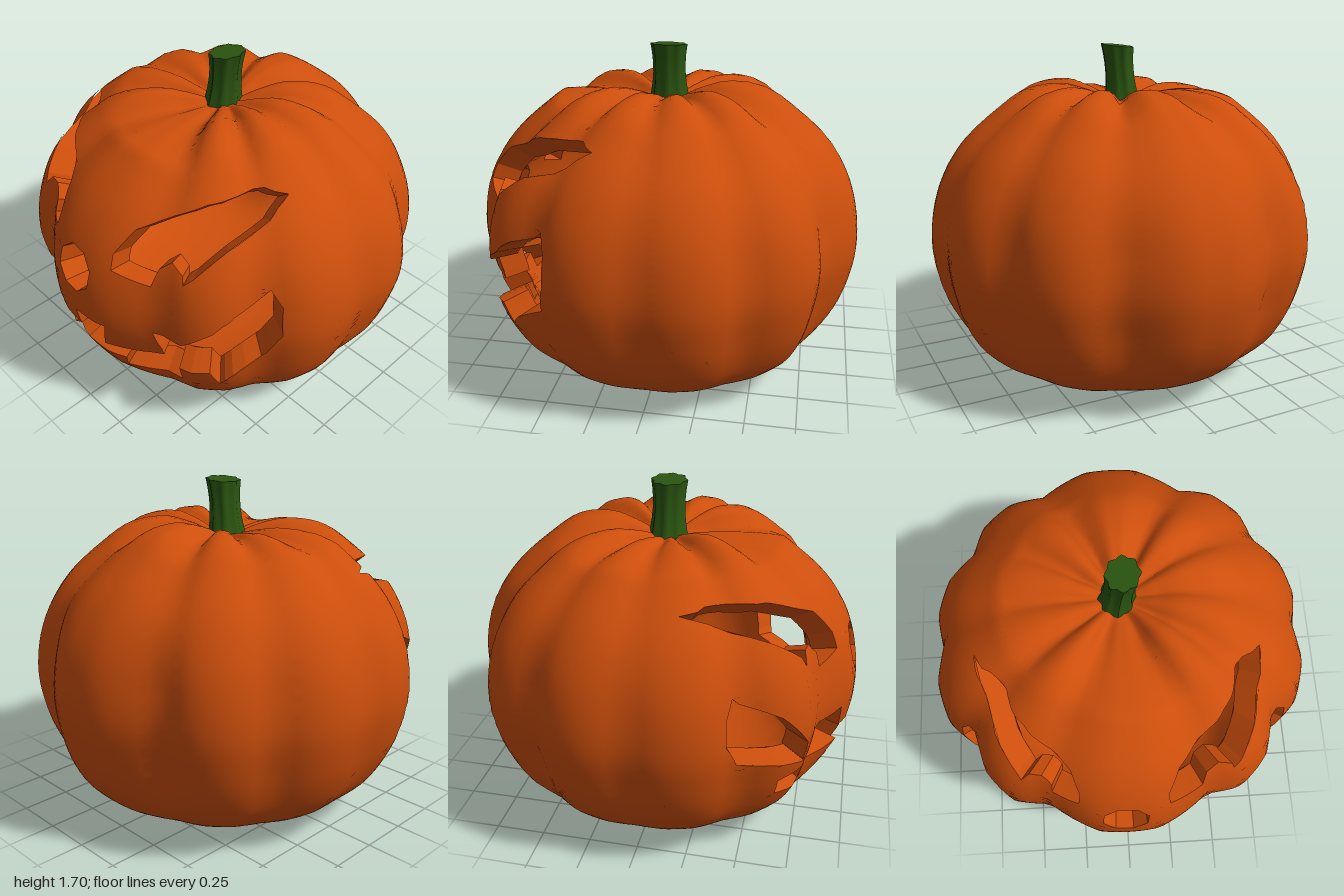
import * as THREE from 'three';

const V2 = (p) => new THREE.Vector2(p[0], p[1]);
const { smoothstep: smooth, lerp, clamp } = THREE.MathUtils;
const CENTRE_Y = 0.72, INNER = 0.86, HEIGHT = 3;

// Rib crest profile (radius, height) from the underside to the dimple below the stem
const profile = new THREE.SplineCurve([
  [0, 0], [0.4, 0.015], [0.68, 0.09], [0.83, 0.2], [0.93, 0.37], [0.985, 0.56], [1, 0.72], [0.975, 0.9],
  [0.915, 1.06], [0.815, 1.21], [0.67, 1.345], [0.5, 1.465], [0.32, 1.5], [0.18, 1.47], [0.08, 1.43], [0, 1.41],
].map(V2));
const CREST = 12 / 15;

// Grooves between the ribs: degrees away from the front, and radius scale at their floor
const grooves = [[-26.5, 0.928], [26.5, 0.928], [57, 0.93], [90, 0.955], [121, 0.937], [153.5, 0.912], [206.5, 0.912]];
function ribScale(angle) {
  const d = Math.abs(angle) * 180 / Math.PI;
  let i = 0;
  while (i < grooves.length - 2 && d > grooves[i + 1][0]) i++;
  const [start, floorA] = grooves[i], [end, floorB] = grooves[i + 1];
  const u = (d - start) / (end - start);
  return lerp(lerp(floorA, floorB, u), 1.003, Math.min(1, 3 * u, 3 * (1 - u)));
}

// Point on the skin for an angle and a height parameter; depth < 1 gives the inner wall
function skin(angle, v, depth = 1) {
  const p = profile.getPoint(clamp(v / HEIGHT, 0, 1));
  // grooves soften towards the base, the shoulder and the poles
  const shoulder = 1 - 0.4 * smooth(p.y, 0.85, 1.2) + 0.4 * smooth(p.y, 1.38, 1.48);
  const fade = smooth(p.y, 0, 0.5) * shoulder * smooth(p.x, 0, 0.25);
  const m = (1 + (ribScale(angle) - 1) * fade) * depth;
  // the crown sinks at the front and on the right
  const sink = 0.5 * Math.max(0, -Math.sin(angle)) ** 2 + 0.8 * smooth(Math.cos(angle), 0.85, 1);
  const y = p.y - sink * Math.max(0, p.y - 1.41);
  const r = Math.max(p.x, 0) * m;
  return new THREE.Vector3(r * Math.sin(angle), CENTRE_Y + (y - CENTRE_Y) * m, r * Math.cos(angle));
}

// Outward normal of the skin, taken over a wide step so that the grooves shade softly
function skinNormal(a, v) {
  const e = 0.03, w = clamp(v, 2 * e, HEIGHT - 2 * e);
  const across = skin(a + 0.09, w).sub(skin(a - 0.09, w));
  const up = skin(a, w + e).sub(skin(a, w - e));
  return across.cross(up).normalize();
}

function bisect(lo, hi, tooLow) {
  for (let i = 0; i < 26; i++) {
    const mid = (lo + hi) / 2;
    if (tooLow(mid)) lo = mid; else hi = mid;
  }
  return (lo + hi) / 2;
}

// Front-facing x, y to skin parameters
function toSkin(x, y) {
  const heightAt = (a) => bisect(0, CREST * HEIGHT, (v) => skin(a, v).y < y);
  const a = bisect(-1.4, 1.4, (t) => skin(t, heightAt(t)).x < x);
  return new THREE.Vector2(a, heightAt(a));
}

// Carved outlines, seen from the front
const rightEye = [[-0.71, 1.29], [-0.63, 1.31], [-0.48, 1.29], [-0.275, 1.175], [-0.24, 1.06], [-0.25, 0.98],
  [-0.38, 0.94], [-0.375, 1.01], [-0.42, 1.07], [-0.48, 1.07], [-0.525, 1.01], [-0.54, 1.06], [-0.61, 1.15]];
const leftEye = [[0.66, 1.32], [0.57, 1.34], [0.46, 1.31], [0.24, 1.175], [0.19, 1.06], [0.2, 0.985],
  [0.37, 0.94], [0.385, 1.03], [0.44, 1.085], [0.51, 1.05], [0.525, 1.01], [0.56, 1.05], [0.665, 1.24]];
const nose = [];
for (let i = 0; i < 8; i++) {
  const t = (i + 0.4) * Math.PI / 4;
  nose.push([-0.02 + 0.12 * Math.cos(t), 0.895 + 0.12 * Math.sin(t)]);
}
const mouth = [
  // upper lip and teeth
  [-0.79, 0.95], [-0.6, 0.65], [-0.6, 0.55], [-0.445, 0.515], [-0.445, 0.635], [-0.25, 0.65], [-0.225, 0.53],
  [-0.01, 0.53], [-0.01, 0.64], [0.185, 0.65], [0.15, 0.495], [0.41, 0.5], [0.39, 0.67], [0.55, 0.68],
  [0.68, 0.79], [0.78, 0.96],
  // lower lip and teeth
  [0.84, 0.87], [0.855, 0.71], [0.79, 0.57], [0.66, 0.385], [0.65, 0.5], [0.5, 0.46], [0.485, 0.345],
  [0.195, 0.305], [0.225, 0.4], [-0.015, 0.405], [-0.005, 0.305], [-0.2, 0.31], [-0.15, 0.4], [-0.4, 0.425],
  [-0.41, 0.305], [-0.66, 0.375], [-0.69, 0.47], [-0.57, 0.49], [-0.58, 0.53], [-0.79, 0.6], [-0.855, 0.73], [-0.84, 0.86],
];

// Short steps along an outline, laid on the skin
function carve(outline) {
  const points = [];
  outline.forEach((p, i) => {
    const a = V2(p), b = V2(outline[(i + 1) % outline.length]);
    const steps = Math.ceil(a.distanceTo(b) / 0.05);
    for (let s = 0; s < steps; s++) {
      const q = a.clone().lerp(b, s / steps);
      points.push(toSkin(q.x, q.y));
    }
  });
  return points;
}

// Wraps the flat pierced sheet round the pumpkin, halving long edges first
function wrapSheet(sheet, depth, maxEdge) {
  const out = [], normals = [];
  const facing = depth < 1 ? -1 : 1;
  const split = (a, b, c) => {
    const ab = a.distanceTo(b), bc = b.distanceTo(c), ca = c.distanceTo(a);
    const longest = Math.max(ab, bc, ca);
    if (longest > maxEdge) {
      if (longest === bc) [a, b, c] = [b, c, a];
      else if (longest === ca) [a, b, c] = [c, a, b];
      const mid = a.clone().add(b).multiplyScalar(0.5);
      split(a, mid, c);
      split(mid, b, c);
    } else {
      for (const p of facing < 0 ? [a, c, b] : [a, b, c]) {
        out.push(...skin(p.x, p.y, depth).toArray());
        normals.push(...skinNormal(p.x, p.y).multiplyScalar(facing).toArray());
      }
    }
  };
  const pos = sheet.attributes.position, index = sheet.index;
  const at = (i) => new THREE.Vector2(pos.getX(index.getX(i)), pos.getY(index.getX(i)));
  for (let i = 0; i < index.count; i += 3) split(at(i), at(i + 1), at(i + 2));
  const geo = new THREE.BufferGeometry();
  geo.setAttribute('position', new THREE.Float32BufferAttribute(out, 3));
  geo.setAttribute('normal', new THREE.Float32BufferAttribute(normals, 3));
  return geo;
}

// Flat-shaded cut faces joining the outer skin to the inner wall
function cutFaces(loop) {
  const out = [];
  loop.forEach((p, i) => {
    const q = loop[(i + 1) % loop.length];
    const a = skin(p.x, p.y), b = skin(q.x, q.y);
    const c = skin(q.x, q.y, INNER), d = skin(p.x, p.y, INNER);
    for (const v of [a, b, c, a, c, d]) out.push(v.x, v.y, v.z);
  });
  const geo = new THREE.BufferGeometry();
  geo.setAttribute('position', new THREE.Float32BufferAttribute(out, 3));
  geo.computeVertexNormals();
  return geo;
}

// Fluted stem, waisted and leaning slightly
function stemGeometry() {
  const geo = new THREE.CylinderGeometry(1, 1, 1, 32, 6);
  const pos = geo.attributes.position;
  for (let i = 0; i < pos.count; i++) {
    const x = pos.getX(i), z = pos.getZ(i), h = pos.getY(i) + 0.5;
    const flute = 1 + 0.08 * Math.cos(8 * Math.atan2(x, z));
    const r = (0.07 + 0.06 * (h - 0.6) ** 2) * flute;
    const px = x * r - 0.012 + 0.03 * h;
    pos.setXYZ(i, px, 1.39 + 0.3 * h + 0.1 * px * h, z * r * 1.1);
  }
  geo.computeVertexNormals();
  return geo;
}

export function createModel() {
  const group = new THREE.Group();
  const orange = new THREE.MeshStandardMaterial({ color: 0xcc4e0c });
  const cutOrange = new THREE.MeshStandardMaterial({ color: 0xcc4e0c, side: THREE.DoubleSide });
  const green = new THREE.MeshStandardMaterial({ color: 0x2a5510 });
  const add = (name, geo, material) => {
    const mesh = new THREE.Mesh(geo, material);
    mesh.name = name;
    group.add(mesh);
  };

  // Unrolled skin with the face cut out
  const holes = { rightEye, leftEye, nose, mouth };
  const sheet = new THREE.Shape([[-Math.PI, 0], [Math.PI, 0], [Math.PI, HEIGHT], [-Math.PI, HEIGHT]].map(V2));
  for (const [name, outline] of Object.entries(holes)) {
    const loop = carve(outline);
    sheet.holes.push(new THREE.Path(loop));
    add(name + 'Cut', cutFaces(loop), cutOrange);
  }
  const flat = new THREE.ShapeGeometry(sheet);
  add('pumpkinSkin', wrapSheet(flat, 1, 0.07), orange);
  add('innerWall', wrapSheet(flat, INNER, 0.2), orange);
  add('stem', stemGeometry(), green);
  return group;
}
